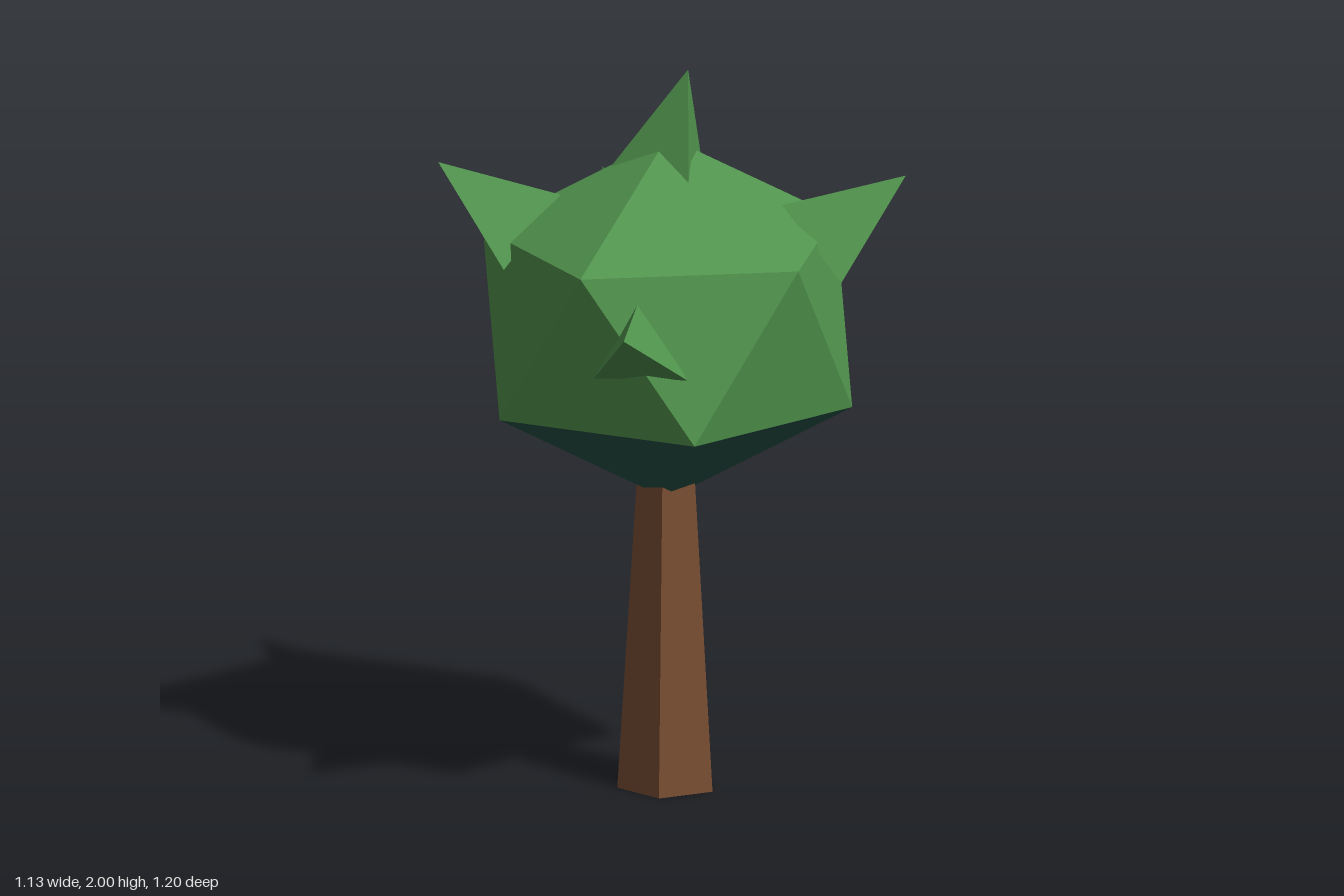
import * as THREE from 'three';
import { ConvexGeometry } from 'three/addons/geometries/ConvexGeometry.js';

const material = (name, color) => new THREE.MeshStandardMaterial({ name, color, flatShading: true });

const CENTRE = [-0.025, 1.305, 0.02];

// Flat-faced geometry from a list of triangles
function facets(triangles) {
  const g = new THREE.BufferGeometry().setFromPoints(triangles.flat());
  g.computeVertexNormals();
  return g;
}

// Five points round the crown at one height
function ring(y, turn) {
  return Array.from({ length: 5 }, (_, i) => {
    const a = turn + (i * Math.PI * 2) / 5;
    return new THREE.Vector3(0.505 * Math.cos(a), y, 0.505 * Math.sin(a));
  });
}

export function createModel() {
  const model = new THREE.Group();
  model.name = 'tree';
  const leaf = material('leaf green', 0x52964f);
  const shade = material('deep teal green', 0x28574a);
  const bark = material('bark brown', 0x7a4e33);

  const add = (name, geometry, mat, position = [0, 0, 0]) => {
    const mesh = new THREE.Mesh(geometry, mat);
    mesh.name = name;
    mesh.position.set(...position);
    model.add(mesh);
  };

  // Five-sided tapering trunk with a flat side to the front
  const trunk = new THREE.CylinderGeometry(0.081, 0.137, 0.9, 5);
  trunk.rotateY(Math.PI);
  add('trunk', trunk, bark, [CENTRE[0], 0.45, CENTRE[2]]);

  // Slightly flattened icosahedral crown, its lowest five faces in a darker colour
  const top = new THREE.Vector3(0, 0.505, 0);
  const bottom = new THREE.Vector3(0, -0.505, 0);
  const upper = ring(0.226, 0);
  const lower = ring(-0.226, Math.PI / 5);
  const crown = [], underside = [];
  for (let i = 0; i < 5; i++) {
    const j = (i + 1) % 5;
    crown.push([top, upper[j], upper[i]]);
    crown.push([upper[j], lower[i], upper[i]]);
    crown.push([upper[j], lower[j], lower[i]]);
    underside.push([lower[j], bottom, lower[i]]);
  }
  add('crown', facets(crown), leaf, CENTRE);
  add('crownUnderside', facets(underside), shade, CENTRE);

  // Three-sided leaf spikes: tip position, then base corners relative to the tip
  const spikes = {
    topSpike: [[0.022, 2, 0.05], [-0.18, -0.285, -0.118], [0.09, -0.31, -0.092], [-0.058, -0.305, 0.12]],
    rightSpike: [[-0.568, 1.733, -0.277], [0.1, -0.266, 0.197], [0.3, -0.092, 0.149], [0.222, -0.262, -0.035]],
    leftSpike: [[0.563, 1.695, 0.28], [-0.22, -0.261, 0.053], [-0.31, -0.076, -0.126], [-0.129, -0.254, -0.194]],
    frontSpike: [[-0.443, 1.427, 0.6], [0.256, -0.17, -0.132], [0.192, 0.04, -0.283], [0.054, -0.178, -0.29]],
    backSpike: [[0.087, 1.567, -0.602], [-0.067, -0.016, 0.338], [-0.178, -0.22, 0.198], [0.077, -0.216, 0.253]],
  };
  for (const [name, [tip, ...corners]] of Object.entries(spikes)) {
    const points = [[0, 0, 0], ...corners].map((p) => new THREE.Vector3(...p));
    add(name, new ConvexGeometry(points), leaf, tip);
  }
  return model;
}
